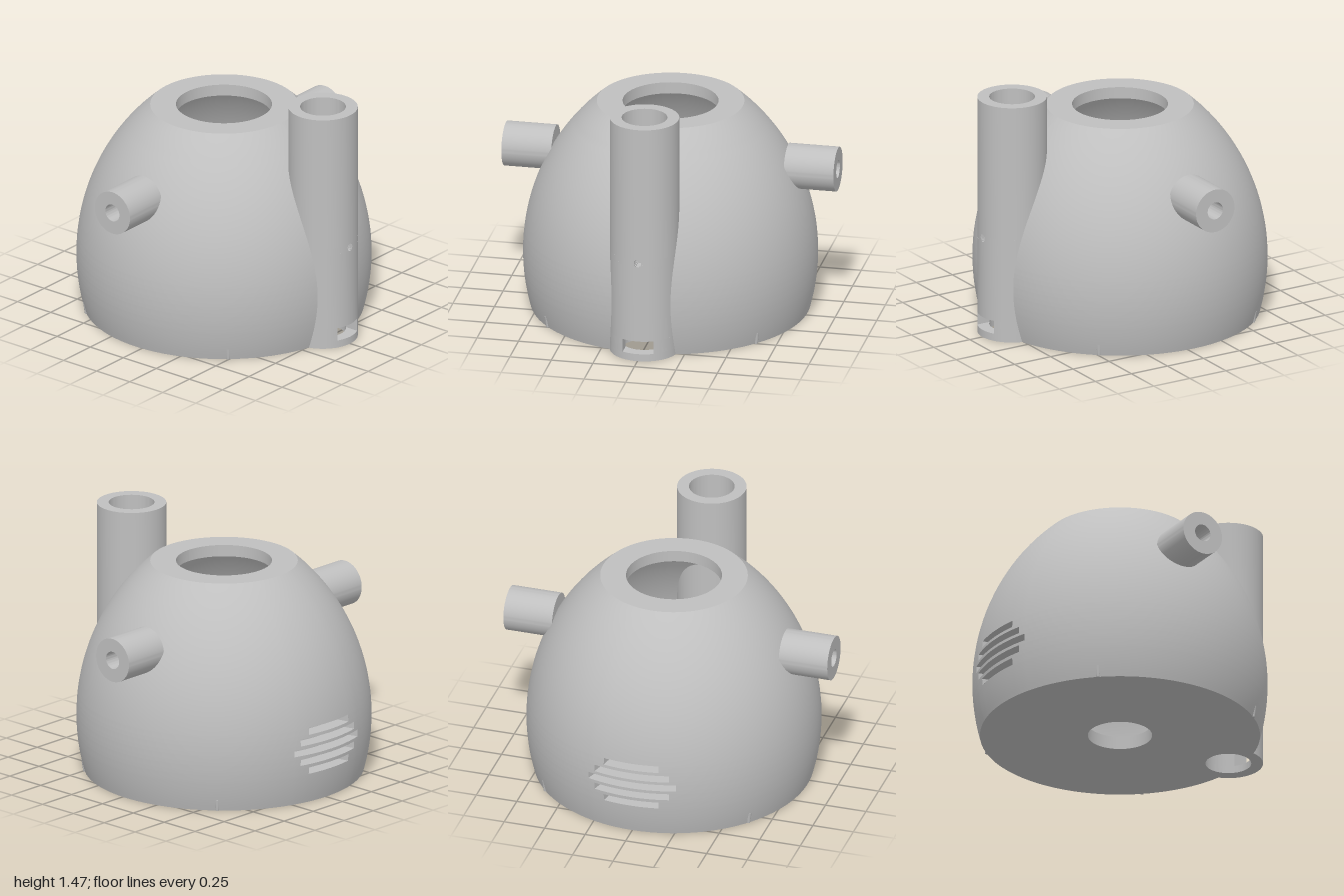
import * as THREE from 'three';
import { toCreasedNormals } from 'three/addons/utils/BufferGeometryUtils.js';

const BODY_Z = -0.042, TUBE_Z = 0.707, H = 1.28;
const CUT = 0.19;                       // the shell stops inside the tube wall
const SLOTS = [[0.208, 0.197], [0.27, 0.267], [0.331, 0.316], [0.391, 0.267], [0.452, 0.197]]
  .map(([y, a]) => ({ lo: y - 0.021, hi: y + 0.021, a }));
const SLOT_COLUMNS = [0, 0.066, 0.132, 0.197, 0.232, 0.267, 0.29, 0.316];

// Radius of the dome at height y (circular arc)
const domeRadius = (y) => 0.87 - 1.255 + Math.sqrt(1.255 ** 2 - (y - 0.33) ** 2);

// Largest angle from the back that a ring of radius r reaches before meeting the tube
function maxAngle(r) {
  const d = TUBE_Z - BODY_Z;
  const c = (r * r + d * d - CUT * CUT) / (2 * r * d);
  return Math.PI - Math.acos(Math.min(1, c));
}

// Angles measured from the back, finer around the vents
function columns(r) {
  const half = [...SLOT_COLUMNS], last = half[half.length - 1], m = maxAngle(r);
  for (let k = 1; k <= 40; k++) half.push(last + (m - last) * k / 40);
  return [...half.slice(1).reverse().map((a) => -a), ...half];
}

// Sweep rows of [radius, y] round the body axis, leaving out cells where skip is true
function sweep(rows, anglesOf = columns, skip = () => false) {
  const pos = [], idx = [];
  const n = anglesOf(rows[0][0]).length;
  rows.forEach(([r, y], i) => {
    const angles = anglesOf(r);
    angles.forEach((a, j) => {
      pos.push(r * Math.sin(a), y, BODY_Z - r * Math.cos(a));
      if (i === rows.length - 1 || j === n - 1) return;
      if (skip((y + rows[i + 1][1]) / 2, (a + angles[j + 1]) / 2)) return;
      const p = i * n + j, q = p + n;
      idx.push(p, q, p + 1, q, q + 1, p + 1);
    });
  });
  const g = new THREE.BufferGeometry();
  g.setAttribute('position', new THREE.Float32BufferAttribute(pos, 3));
  g.setIndex(idx);
  g.computeVertexNormals();
  return g;
}

const line = (r0, y0, r1, y1, n) =>
  Array.from({ length: n + 1 }, (_, i) => [r0 + (r1 - r0) * i / n, y0 + (y1 - y0) * i / n]);

// Upright ring, optionally open at the front for |x| < gap
function ring(R, r, h, gap = 0) {
  const s = new THREE.Shape();
  if (gap > 0) {
    const a = Math.asin(gap / R), b = Math.asin(gap / r), f = -Math.PI / 2;
    s.absarc(0, 0, R, f + a, f + 2 * Math.PI - a, false);
    s.absarc(0, 0, r, f + 2 * Math.PI - b, f + b, true);
  } else {
    s.absarc(0, 0, R, 0, Math.PI * 2, false);
    s.holes.push(new THREE.Path().absarc(0, 0, r, 0, Math.PI * 2, true));
  }
  const g = new THREE.ExtrudeGeometry(s, { depth: h, bevelEnabled: false, curveSegments: 48 });
  g.rotateX(-Math.PI / 2);
  return toCreasedNormals(g, 0.5);
}

export function createModel() {
  const grey = new THREE.MeshStandardMaterial({ color: 0xbfbfbf, side: THREE.DoubleSide });
  grey.name = 'grey';
  const model = new THREE.Group();
  model.name = 'model';
  const group = (name) => {
    const g = new THREE.Group();
    g.name = name;
    model.add(g);
    return g;
  };
  const add = (parent, geometry, name) => {
    const m = new THREE.Mesh(geometry, grey);
    m.name = name;
    parent.add(m);
    return m;
  };

  // Dome shell with vent openings
  const body = group('body');
  const ys = Array.from({ length: 45 }, (_, i) => H * i / 44);
  SLOTS.forEach((s) => ys.push(s.lo, s.hi));
  ys.sort((a, b) => a - b);
  const inSlot = (y, a) => SLOTS.some((s) => y > s.lo && y < s.hi && Math.abs(a) < s.a);
  add(body, sweep(ys.map((y) => [domeRadius(y), y]), columns, inSlot), 'domeOutside');

  // Base, rim and hollow inside
  const floorY = 0.08, lipY = 1.21, wall = 0.1;
  const inner = (y) => domeRadius(y) - wall;
  add(body, sweep(line(0.19, 0, domeRadius(0), 0, 30)), 'baseUnderside');
  add(body, sweep(line(domeRadius(H), H, 0.283, H, 1)), 'topRim');
  add(body, sweep(line(0.283, H, 0.283, lipY, 1)), 'topOpening');
  add(body, sweep(line(0.283, lipY, inner(lipY), lipY, 1)), 'ceiling');
  add(body, sweep(line(0, lipY, 0, floorY, 40).map(([, y]) => [inner(y), y])), 'insideWall');
  add(body, sweep(line(inner(floorY), floorY, 0.19, floorY, 30)), 'floor');
  add(body, sweep(line(0.19, floorY, 0.19, 0, 1)), 'baseOpening');

  // Vent pockets
  const vents = group('vents');
  for (const { lo, hi, a } of SLOTS) {
    const angles = () => Array.from({ length: 13 }, (_, i) => a * (i / 6 - 1));
    const r0 = domeRadius(lo), r1 = domeRadius(hi), deep = Math.min(r0, r1) - 0.09;
    add(vents, sweep([[r0, lo], [deep, lo]], angles), 'ventFloor');
    add(vents, sweep([[deep, lo], [deep, hi]], angles), 'ventBack');
    add(vents, sweep([[deep, hi], [r1, hi]], angles), 'ventCeiling');
    for (const s of [-1, 1]) {
      const end = new THREE.Shape([[r0, lo], [deep, lo], [deep, hi], [r1, hi]]
        .map(([r, y]) => new THREE.Vector2(r, y)));
      const m = add(vents, new THREE.ShapeGeometry(end), 'ventEnd');
      m.position.z = BODY_Z;
      m.rotation.y = Math.PI / 2 - s * a;
    }
  }

  // Front tube in slabs: a window near the foot and a small round hole above it
  const tube = group('frontTube');
  const holeY = 0.62, holeR = 0.022, steps = 8;
  const slabs = [[0, 0.045, 0], [0.045, 0.125, 0.093], [0.125, holeY - holeR, 0]];
  for (let i = 0; i < steps; i++) {
    const at = (k) => holeR * (2 * k / steps - 1);
    slabs.push([holeY + at(i), holeY + at(i + 1), Math.sqrt(holeR ** 2 - at(i + 0.5) ** 2)]);
  }
  slabs.push([holeY + holeR, 1.47, 0]);
  for (const [y0, y1, gap] of slabs) {
    add(tube, ring(0.205, 0.135, y1 - y0, gap), 'tubeWall').position.set(0, y0, TUBE_Z);
  }

  // Side sockets
  for (const s of [-1, 1]) {
    const socket = add(model, ring(0.133, 0.053, 0.3), s > 0 ? 'leftSocket' : 'rightSocket');
    socket.rotation.z = -s * Math.PI / 2;
    socket.position.set(s * 0.7, 0.91, -0.082);
  }

  // Small tapered keys round the foot
  const keys = group('footKeys');
  for (const sx of [-1, 1]) for (const sz of [-1, 1]) {
    add(keys, new THREE.CylinderGeometry(0.02, 0.01, 0.07, 16), 'footKey')
      .position.set(sx * 0.627, 0.035, BODY_Z + sz * 0.536);
  }
  return model;
}
